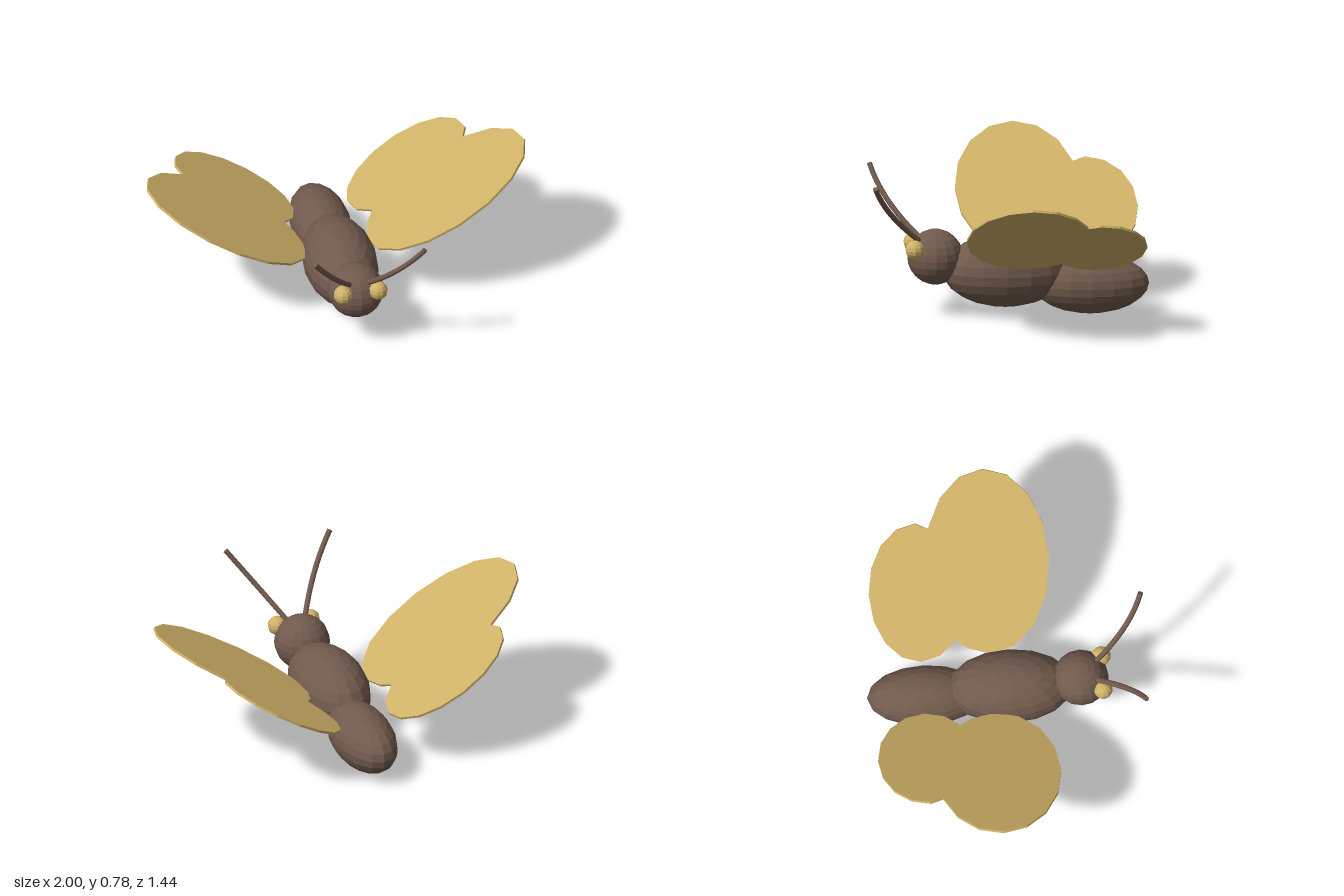
import * as THREE from 'three';

const brown = new THREE.MeshStandardMaterial({ color: 0x715a4d, flatShading: true });
brown.name = 'bodyBrown';
const gold = new THREE.MeshStandardMaterial({ color: 0xcfb168, flatShading: true });
gold.name = 'wingGold';

const WING_TILT = Math.atan(0.601);
const WING_ROOT_Y = 0.183; // height of the wing plane at x = 0
const WING_THICKNESS = 0.013;

function ellipsoid(name, material, radii, position, segments = 16, rings = 12) {
  const geometry = new THREE.SphereGeometry(1, segments, rings).scale(...radii);
  const mesh = new THREE.Mesh(geometry, material);
  mesh.name = name;
  mesh.position.set(...position);
  return mesh;
}

// Points on a 16-sided ellipse, from step a to step b
function arc(cx, cz, rx, rz, a, b) {
  const points = [];
  for (let k = a; k <= b; k++) {
    const t = (k * Math.PI) / 8;
    points.push([cx + rx * Math.cos(t), cz + rz * Math.sin(t)]);
  }
  return points;
}

// Forewing and hindwing lobes joined in one thin plate
function wing(side) {
  const outline = [
    ...arc(0.58, -0.07, 0.415, 0.32, -3, 9),
    ...arc(0.455, -0.43, 0.31, 0.255, 6, 16),
  ].map(([x, z]) => new THREE.Vector2((side * x) / Math.cos(WING_TILT), -z));
  const geometry = new THREE.ExtrudeGeometry(new THREE.Shape(outline), {
    depth: WING_THICKNESS,
    bevelEnabled: false,
  });
  geometry.translate(0, 0, -WING_THICKNESS / 2);
  geometry.rotateX(-Math.PI / 2);
  geometry.rotateZ(side * WING_TILT);
  geometry.translate(0, WING_ROOT_Y, 0);
  return new THREE.Mesh(geometry, gold);
}

function antenna(side) {
  const curve = new THREE.QuadraticBezierCurve3(
    new THREE.Vector3(side * 0.04, 0.39, 0.445),
    new THREE.Vector3(side * 0.16, 0.56, 0.645),
    new THREE.Vector3(side * 0.29, 0.74, 0.705)
  );
  const group = new THREE.Group();
  group.add(new THREE.Mesh(new THREE.TubeGeometry(curve, 10, 0.014, 8), brown));
  // Closed tip
  const tip = new THREE.Mesh(new THREE.CircleGeometry(0.014, 8), brown);
  tip.position.copy(curve.getPoint(1));
  tip.lookAt(curve.getPoint(1).add(curve.getTangent(1)));
  group.add(tip);
  return group;
}

export function createModel() {
  const model = new THREE.Group();
  model.name = 'butterfly';

  // Body
  model.add(
    ellipsoid('thorax', brown, [0.19, 0.19, 0.325], [0, 0.236, 0.02]),
    ellipsoid('abdomen', brown, [0.155, 0.155, 0.3], [0, 0.16, -0.418]),
    ellipsoid('head', brown, [0.144, 0.144, 0.144], [0, 0.311, 0.382])
  );

  // Mirrored parts
  for (const [side, label] of [[1, 'left'], [-1, 'right']]) {
    model.add(ellipsoid(label + 'Eye', gold, [0.05, 0.05, 0.05], [side * 0.092, 0.368, 0.492], 10, 8));
    const feeler = antenna(side);
    feeler.name = label + 'Antenna';
    const plate = wing(side);
    plate.name = label + 'Wing';
    model.add(feeler, plate);
  }
  return model;
}
